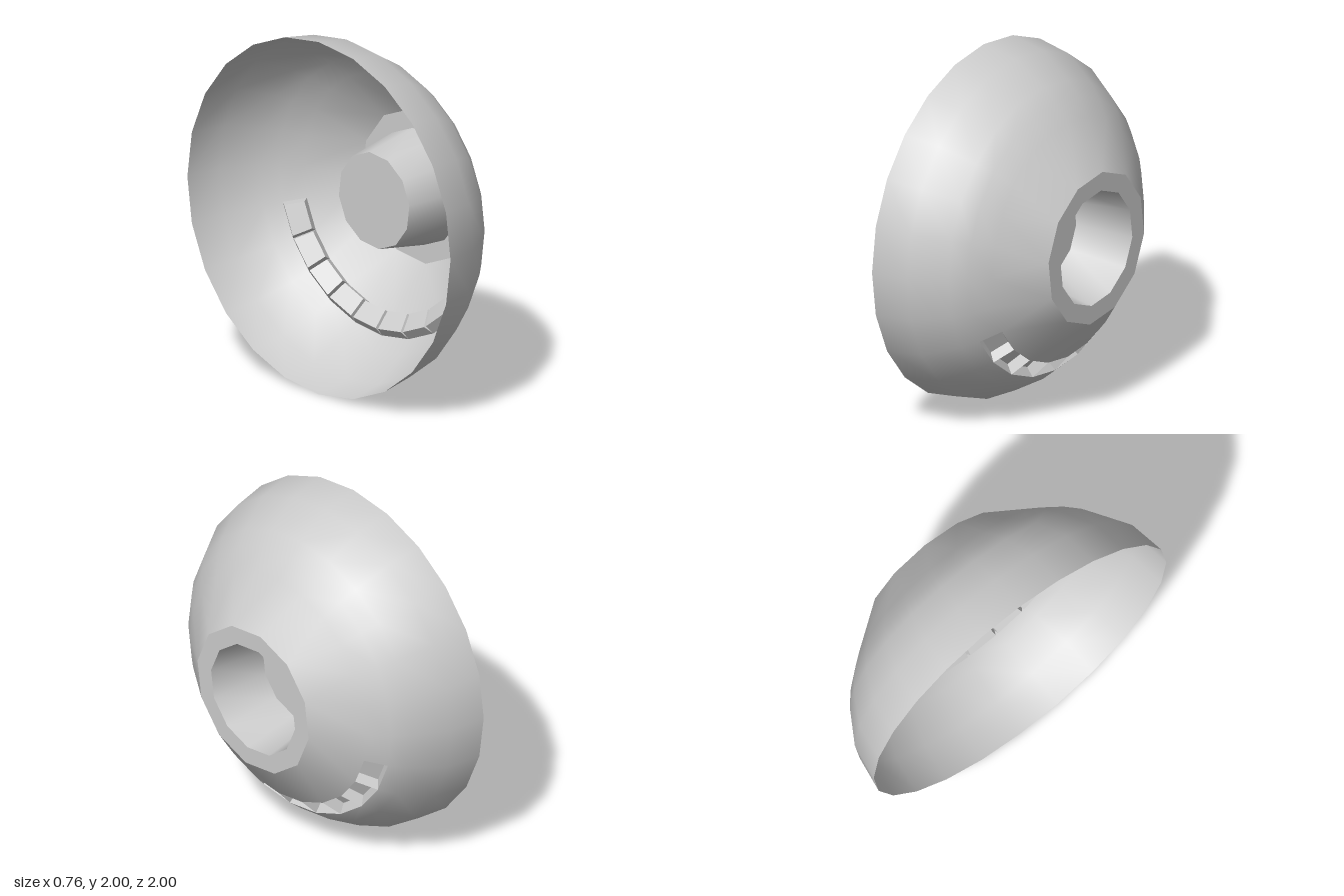
import * as THREE from 'three';
import { toCreasedNormals } from 'three/addons/utils/BufferGeometryUtils.js';

const SIDES = 24, HUB_SIDES = 12;
const RAD = Math.PI / 180;
const material = new THREE.MeshStandardMaterial({ color: 0xcccccc, side: THREE.DoubleSide });

// Ring of points around the x axis, starting at the bottom and running toward -z
const ring = (x, r, n, offset = 0) => Array.from({ length: n }, (_, i) => {
  const a = offset + (i / n) * Math.PI * 2;
  return new THREE.Vector3(x, 1 - r * Math.cos(a), -r * Math.sin(a));
});
const hubRing = (x, r) => ring(x, r, HUB_SIDES, -7.5 * RAD);

const makeGeometry = (points, index) => {
  const g = new THREE.BufferGeometry().setFromPoints(points);
  g.setIndex(index);
  g.computeVertexNormals();
  return g;
};

const addMesh = (group, geometry, name) => {
  const mesh = new THREE.Mesh(geometry, material);
  mesh.name = name;
  group.add(mesh);
};

// [x, radius] outline of the bowl from the open rim to the hub
const profile = [[-0.38, 1], [-0.17, 0.965], [0.02, 0.85], [0.10, 0.78], [0.185, 0.68]];
const SLOT_BAND = 3;
const slotCells = Array.from({ length: 9 }, (_, i) => (i - 4 + SIDES) % SIDES);

// Smooth open bowl; the slot cells shape the normals and are then cut away
function bowlGeometry() {
  const points = profile.flatMap(([x, r]) => ring(x, r, SIDES)).concat(hubRing(0.377, 0.43));
  const faces = [], cut = [];
  for (let b = 0; b < profile.length - 1; b++) {
    for (let i = 0; i < SIDES; i++) {
      const a = b * SIDES, c = a + SIDES, j = (i + 1) % SIDES;
      const open = b === SLOT_BAND && slotCells.includes(i);
      (open ? cut : faces).push(a + i, a + j, c + j, a + i, c + j, c + i);
    }
  }
  // Last band halves the number of sides where it meets the hub
  const last = (profile.length - 1) * SIDES, hub = last + SIDES;
  for (let k = 0; k < HUB_SIDES; k++) {
    const before = last + (2 * k - 1 + SIDES) % SIDES;
    const at = last + 2 * k, after = at + 1;
    const next = hub + (k + 1) % HUB_SIDES;
    faces.push(before, at, hub + k, at, after, next, at, next, hub + k);
  }
  const g = makeGeometry(points, faces.concat(cut));
  g.setIndex(faces);
  return g;
}

// Flat front ring, tapered socket wall and closed socket floor
function hubGeometry() {
  const rings = [[0.377, 0.43], [0.377, 0.325], [0.04, 0.27]];
  const points = rings.flatMap(([x, r]) => hubRing(x, r));
  points.push(new THREE.Vector3(0.04, 1, 0));
  const index = [], n = HUB_SIDES;
  for (let i = 0; i < n; i++) {
    const j = (i + 1) % n;
    for (let b = 0; b < 2; b++) {
      const a = b * n, c = a + n;
      index.push(a + i, a + j, c + j, a + i, c + j, c + i);
    }
    index.push(2 * n + i, 2 * n + j, 3 * n);
  }
  return toCreasedNormals(makeGeometry(points, index), 0.6);
}

// Shallow pocket sunk into one cell of the bowl
function pocketGeometry(cell) {
  const outer = ring(...profile[SLOT_BAND], SIDES), inner = ring(...profile[SLOT_BAND + 1], SIDES);
  const j = (cell + 1) % SIDES;
  const mouth = [outer[cell], outer[j], inner[j], inner[cell]];
  const centre = mouth.reduce((s, p) => s.add(p), new THREE.Vector3()).multiplyScalar(0.25);
  const normal = mouth[1].clone().sub(mouth[0]).cross(mouth[3].clone().sub(mouth[0])).normalize();
  const floor = mouth.map(p => p.clone().lerp(centre, 0.15).addScaledVector(normal, -0.06));
  const index = [4, 5, 6, 4, 6, 7];
  for (let i = 0; i < 4; i++) {
    const k = (i + 1) % 4;
    index.push(i, k, k + 4, i, k + 4, i + 4);
  }
  return toCreasedNormals(makeGeometry([...mouth, ...floor], index), 0.3);
}

export function createModel() {
  const group = new THREE.Group();
  group.name = 'domedCover';
  addMesh(group, bowlGeometry(), 'bowl');
  addMesh(group, hubGeometry(), 'hubSocket');

  // Row of pockets along the lower arc
  const pockets = new THREE.Group();
  pockets.name = 'pocketRow';
  slotCells.forEach(cell => addMesh(pockets, pocketGeometry(cell), 'pocket'));
  group.add(pockets);
  return group;
}
